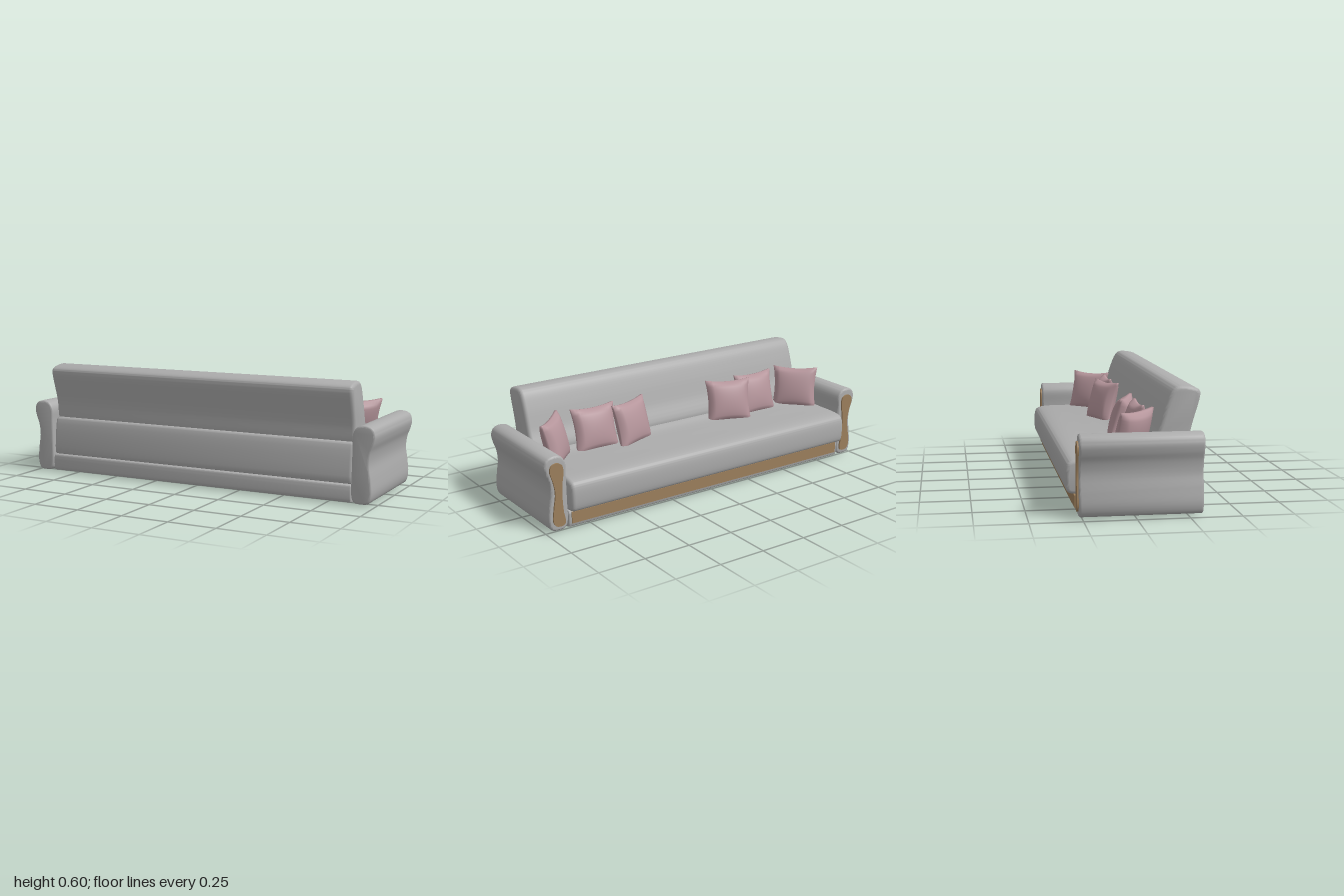
import * as THREE from 'three';
import { mergeVertices, toCreasedNormals } from 'three/addons/utils/BufferGeometryUtils.js';

const fabric = new THREE.MeshStandardMaterial({ color: 0xacacac });
fabric.name = 'grey fabric';
const pink = new THREE.MeshStandardMaterial({ color: 0xb5959b });
pink.name = 'pink cushion';
const wood = new THREE.MeshStandardMaterial({ color: 0x9c7f5c });
wood.name = 'wood trim';

// Closed smooth outline through a few points
function outline(points, samples) {
  const curve = new THREE.CatmullRomCurve3(points.map(([a, b]) => new THREE.Vector3(a, b, 0)), true);
  return new THREE.Shape(curve.getPoints(samples).slice(0, -1).map((p) => new THREE.Vector2(p.x, p.y)));
}

// Outline extruded along z from 0 to depth, its edges rounded inward
function extrude(points, depth, bevel, samples = 70) {
  const geometry = new THREE.ExtrudeGeometry(outline(points, samples), {
    depth: depth - 2 * bevel, bevelEnabled: bevel > 0, bevelThickness: bevel,
    bevelSize: bevel, bevelOffset: -bevel, bevelSegments: 3,
  });
  geometry.translate(0, 0, bevel);
  return toCreasedNormals(geometry, 0.75);
}

// Side profile (distance toward the seat front, height) run across the width
function across(points, halfWidth, bevel) {
  const geometry = extrude(points, 2 * halfWidth, bevel);
  geometry.translate(0, 0, -halfWidth);
  geometry.rotateY(Math.PI / 2);
  return geometry;
}

// Square pillow: puffed middle, drawn-in sides and pointed corners
function pillowGeometry() {
  let geometry = new THREE.BoxGeometry(2, 2, 2, 14, 14, 2);
  geometry.deleteAttribute('uv');
  geometry.deleteAttribute('normal');
  geometry = mergeVertices(geometry);
  const p = geometry.attributes.position;
  for (let i = 0; i < p.count; i++) {
    const u = p.getX(i), v = p.getY(i), side = p.getZ(i);
    const puff = Math.pow(Math.max(0, (1 - u * u) * (1 - v * v)), 0.4);
    p.setXYZ(i,
      u * 0.127 * (1 - 0.1 * (1 - v * v)),
      v * 0.122 * (1 - 0.1 * (1 - u * u)),
      side * (0.007 + 0.04 * puff));
  }
  geometry.computeVertexNormals();
  return geometry;
}

export function createModel() {
  const sofa = new THREE.Group();
  sofa.name = 'sofa';
  const add = (name, geometry, material) => {
    const mesh = new THREE.Mesh(geometry, material);
    mesh.name = name;
    sofa.add(mesh);
    return mesh;
  };

  // Plinth under the seat
  add('base', across([
    [0.268, 0.012], [0.268, 0.085], [0.262, 0.092], [-0.305, 0.092],
    [-0.311, 0.085], [-0.311, 0.012], [-0.305, 0.005], [0.262, 0.005],
  ], 0.88, 0.006), fabric);

  // Seat cushion, rounded at the front, rising slightly to the back
  add('seat', across([
    [0.29, 0.096], [0.31, 0.106], [0.318, 0.13], [0.318, 0.215], [0.308, 0.243], [0.28, 0.257],
    [0.1, 0.264], [-0.04, 0.27], [-0.09, 0.288], [-0.275, 0.298], [-0.285, 0.29],
    [-0.305, 0.105], [-0.298, 0.096],
  ], 0.882, 0.018), fabric);

  // Leaning backrest
  add('backrest', across([
    [-0.085, 0.275], [-0.12, 0.39], [-0.155, 0.505], [-0.183, 0.57], [-0.203, 0.59], [-0.232, 0.595],
    [-0.298, 0.583], [-0.316, 0.57], [-0.319, 0.548], [-0.276, 0.39], [-0.265, 0.3], [-0.255, 0.275],
  ], 0.882, 0.018), fabric);

  // Wooden strip along the front of the plinth
  const strip = add('frontStrip', new THREE.BoxGeometry(1.73, 0.06, 0.009), wood);
  strip.position.set(0, 0.055, -0.2715);

  const armProfile = [
    [0.884, 0.03], [0.9, 0.007], [0.935, 0.002], [0.97, 0.009], [0.986, 0.05], [0.981, 0.13],
    [0.971, 0.2], [0.978, 0.26], [0.994, 0.305], [1.0, 0.345], [0.985, 0.379], [0.945, 0.391],
    [0.908, 0.382], [0.886, 0.35], [0.884, 0.28], [0.882, 0.15],
  ];
  const trimProfile = [
    [0.9, 0.045], [0.91, 0.029], [0.95, 0.03], [0.966, 0.055], [0.962, 0.12], [0.951, 0.2],
    [0.962, 0.265], [0.977, 0.315], [0.97, 0.345], [0.94, 0.357], [0.911, 0.343], [0.903, 0.31],
    [0.911, 0.25], [0.914, 0.18], [0.909, 0.1],
  ];
  const pillow = pillowGeometry();
  // x, z and turn for each pillow on one side
  const pillows = [[0.79, 0.008, 45], [0.53, 0.055, 0], [0.32, 0.026, 20]];

  for (const [side, label] of [[1, 'left'], [-1, 'right']]) {
    const mirror = (points) => points.map(([x, y]) => [side * x, y]);

    // Padded arm with a curved wooden facing
    add(label + 'Arm', extrude(mirror(armProfile), 0.585, 0.01), fabric).position.z = -0.268;
    add(label + 'ArmTrim', extrude(mirror(trimProfile), 0.009, 0, 50), wood).position.z = -0.276;

    // Loose pillows leaning back
    pillows.forEach(([x, z, turn], i) => {
      const mesh = add(label + 'Pillow' + (i + 1), pillow, pink);
      mesh.position.set(side * x, 0.357, z);
      mesh.rotation.set(0.26, side * THREE.MathUtils.degToRad(turn), 0, 'YXZ');
    });
  }
  return sofa;
}
